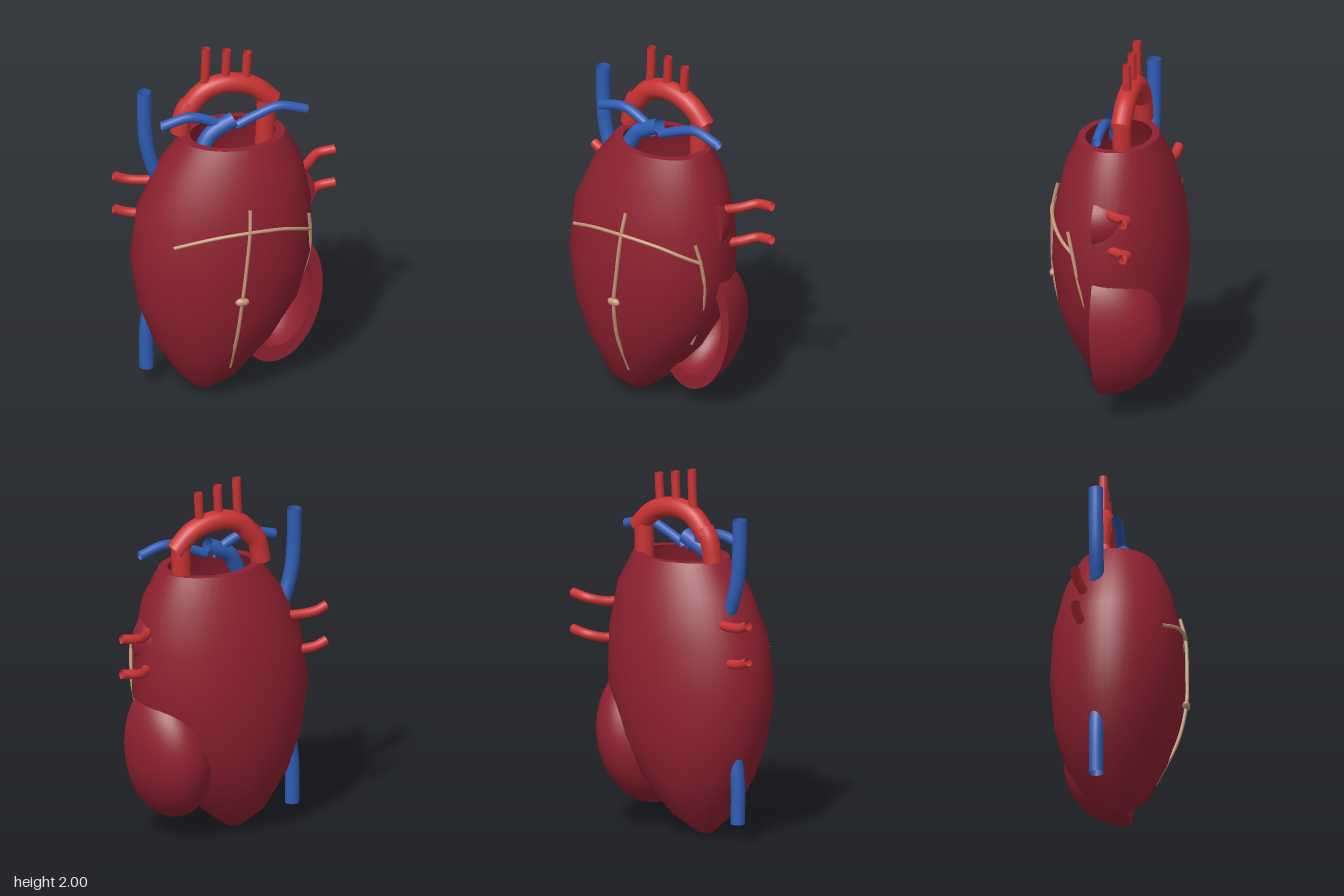
import * as THREE from 'three';

const material = (name, color, side = THREE.FrontSide) => {
  const m = new THREE.MeshStandardMaterial({ color, side });
  m.name = name;
  return m;
};

// Closed loft through elliptical rings [y, xMin, xMax, zMin, zMax]
function loft(rings, segments = 48) {
  const pos = [], index = [];
  for (const [y, x0, x1, z0, z1] of rings) {
    for (let j = 0; j < segments; j++) {
      const t = (j / segments) * Math.PI * 2;
      pos.push((x0 + x1) / 2 + ((x1 - x0) / 2) * Math.cos(t), y,
        (z0 + z1) / 2 + ((z1 - z0) / 2) * Math.sin(t));
    }
  }
  for (let i = 0; i < rings.length - 1; i++) {
    for (let j = 0; j < segments; j++) {
      const k = (j + 1) % segments;
      const a = i * segments + j, b = i * segments + k;
      const c = a + segments, d = b + segments;
      index.push(a, c, b, b, c, d);
    }
  }
  const g = new THREE.BufferGeometry();
  g.setAttribute('position', new THREE.Float32BufferAttribute(pos, 3));
  g.setIndex(index);
  g.computeVertexNormals();
  return g;
}

// Shrinks a ring around its own centre
function shrink([y, x0, x1, z0, z1], s, yNew = y) {
  const cx = (x0 + x1) / 2, cz = (z0 + z1) / 2;
  return [yNew, cx + (x0 - cx) * s, cx + (x1 - cx) * s, cz + (z0 - cz) * s, cz + (z1 - cz) * s];
}

export function createModel() {
  const model = new THREE.Group();
  model.name = 'heart';
  const muscle = material('muscle', 0x8f2130);
  const artery = material('artery red', 0xc83232, THREE.DoubleSide);
  const vein = material('vein blue', 0x2f5cb4, THREE.DoubleSide);
  const coronary = material('coronary tan', 0xc49a78);

  const add = (parent, name, geometry, mat) => {
    const mesh = new THREE.Mesh(geometry, mat);
    mesh.name = name;
    parent.add(mesh);
    return mesh;
  };
  const tube = (name, points, radius, mat, sides = 16) => {
    const curve = new THREE.CatmullRomCurve3(points.map((p) => new THREE.Vector3(...p)));
    return add(model, name, new THREE.TubeGeometry(curve, 28, radius, sides), mat);
  };

  // Main body: a thick shell, open at the top
  const rings = [
    [0.0, -0.2, -0.11, -0.03, 0.03],
    [0.11, -0.315, 0.03, -0.175, 0.165],
    [0.32, -0.44, 0.22, -0.29, 0.262],
    [0.54, -0.52, 0.355, -0.347, 0.325],
    [0.81, -0.558, 0.43, -0.37, 0.352],
    [1.09, -0.522, 0.425, -0.355, 0.337],
    [1.34, -0.41, 0.375, -0.3, 0.278],
    [1.51, -0.283, 0.285, -0.225, 0.202],
  ];
  const wall = 0.82;
  const top = rings[rings.length - 1];
  const inner = rings.slice(1).reverse().map((r) => shrink(r, wall));
  inner.push(shrink(rings[1], 0.001));
  const body = new THREE.Group();
  body.name = 'body';
  model.add(body);
  add(body, 'outerWall', loft(rings), muscle);
  add(body, 'rim', loft([top, shrink(top, wall)]), muscle);
  add(body, 'innerWall', loft(inner), muscle);
  add(body, 'tip', loft([shrink(rings[0], 0.001), rings[0]]), muscle);

  // Side chambers: hollow half shells opening to the front
  function halfShell(name, center, radii, tilt, hollow) {
    const group = new THREE.Group();
    group.name = name;
    const arc = (r) => Array.from({ length: 17 }, (_, i) => {
      const t = (i / 16) * Math.PI / 2;
      return new THREE.Vector2(r * Math.sin(t), -r * Math.cos(t));
    });
    const profiles = {
      outside: arc(1),
      edge: [new THREE.Vector2(1, 0), new THREE.Vector2(hollow, 0)],
      inside: arc(hollow).reverse(),
    };
    for (const [part, points] of Object.entries(profiles)) {
      const g = new THREE.LatheGeometry(points, 48);
      g.rotateX(Math.PI / 2);
      g.scale(...radii);
      add(group, `${name} ${part}`, g, muscle);
    }
    group.position.set(...center);
    group.rotation.z = tilt;
    model.add(group);
  }
  halfShell('lowerChamber', [0.25, 0.495, 0.03], [0.232, 0.39, 0.355], -0.16, 0.77);
  halfShell('upperChamber', [0.265, 1.12, 0.03], [0.18, 0.18, 0.2], 0, 0.8);

  // Great artery: rising leg, arch, falling leg and three branches
  const az = -0.08;
  tube('risingArtery', [[0.19, 1.3, az], [0.2, 1.5, az], [0.205, 1.67, az]], 0.052, artery);
  tube('arteryArch', [[0.24, 1.64, az], [0.13, 1.74, az], [-0.02, 1.778, az],
    [-0.14, 1.745, az], [-0.23, 1.65, az]], 0.055, artery);
  tube('fallingArtery', [[-0.215, 1.69, az], [-0.25, 1.63, az], [-0.275, 1.51, az]], 0.052, artery);
  for (const [x, y] of [[-0.128, 2], [-0.014, 1.975], [0.1, 1.95]]) {
    tube('archBranch', [[x - 0.012, 1.75, az], [x - 0.004, 1.87, az], [x, y, az]], 0.024, artery);
  }

  // Great veins along the right side
  tube('upperVein', [[-0.468, 1.777, -0.09], [-0.466, 1.6, -0.09], [-0.45, 1.43, -0.09],
    [-0.405, 1.28, -0.09], [-0.36, 1.2, -0.09]], 0.039, vein);
  tube('lowerVein', [[-0.455, 0.105, -0.09], [-0.455, 0.33, -0.09], [-0.43, 0.5, -0.09],
    [-0.38, 0.65, -0.09]], 0.039, vein);

  // Lung trunk with two branches
  tube('lungTrunk', [[-0.2, 1.42, 0.05], [-0.14, 1.53, 0.03], [-0.075, 1.57, 0.02],
    [0, 1.605, 0.015]], 0.043, vein);
  tube('rightLungBranch', [[-0.4, 1.61, 0.013], [-0.24, 1.645, 0.013], [-0.13, 1.61, 0.013],
    [-0.03, 1.55, 0.013]], 0.027, vein);
  tube('leftLungBranch', [[0.01, 1.56, 0.013], [0.12, 1.61, 0.013], [0.25, 1.65, 0.013],
    [0.405, 1.61, 0.013]], 0.026, vein);

  // Lung veins, two on each side
  for (const y of [1.235, 1.035]) {
    tube('rightLungVein', [[-0.61, y, -0.19], [-0.55, y - 0.025, -0.185],
      [-0.47, y - 0.035, -0.17], [-0.38, y - 0.035, -0.155]], 0.026, artery);
    tube('leftLungVein', [[0.61, y, -0.185], [0.51, y - 0.015, -0.185],
      [0.44, y - 0.035, -0.12], [0.37, y - 0.035, -0.03]], 0.026, artery);
  }

  // Coronary vessels on the front
  tube('frontCoronary', [[0.013, 1.21, 0.32], [0.004, 1.08, 0.35], [-0.02, 0.85, 0.36],
    [-0.04, 0.67, 0.357], [-0.055, 0.45, 0.31], [-0.066, 0.2, 0.192]], 0.01, coronary, 8);
  tube('crossCoronary', [[-0.39, 0.995, 0.255], [-0.2, 1.06, 0.326], [0, 1.085, 0.35],
    [0.21, 1.055, 0.295], [0.33, 1, 0.22], [0.388, 0.955, 0.15]], 0.01, coronary, 8);
  tube('sideCoronary', [[0.373, 1.075, 0.177], [0.39, 0.94, 0.145], [0.387, 0.78, 0.113],
    [0.33, 0.57, 0.075], [0.257, 0.4, 0.06]], 0.01, coronary, 8);
  const bead = add(model, 'coronaryBead', new THREE.SphereGeometry(1, 20, 14), coronary);
  bead.scale.set(0.038, 0.023, 0.02);
  bead.position.set(-0.04, 0.675, 0.358);

  // Cords inside the open chamber
  for (const s of [-1, 1]) {
    tube('innerCord', [[s * 0.17, 1.0, 0.08], [s * 0.16, 0.75, 0.09], [s * 0.12, 0.5, 0.07]],
      0.01, coronary, 8);
  }
  return model;
}
